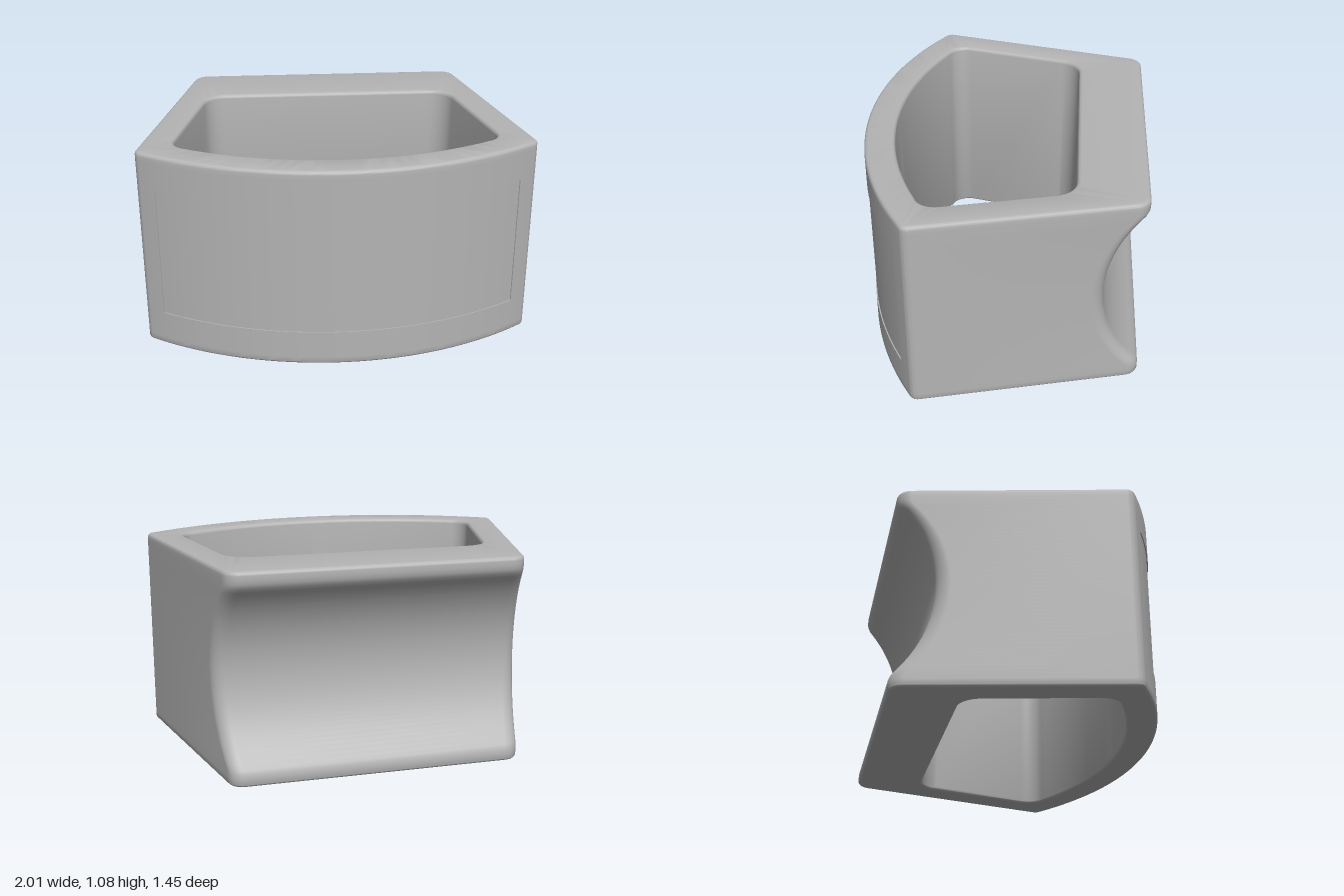
import * as THREE from 'three';
import { toCreasedNormals } from 'three/addons/utils/BufferGeometryUtils.js';

const H = 1.075, SLOPE = 0.236, ROUND = 0.02;
const PANEL = { x: 0.915, y0: 0.19, y1: 0.89, depth: 0.006 };
const OUTER = { front: 0.727, R: 1.77, side: 0.915, rBack: 0.08, rFront: 0.045 };
const INNER = { front: 0.57, R: 1.6, side: 0.754, rBack: 0.13, rFront: 0.1 };

// Points of a circular fillet at corner p between unit directions u and v
function fillet(p, u, v, r, n = 8) {
  const turn = Math.acos(u.dot(v)), t = r * Math.tan(turn / 2);
  const start = p.clone().addScaledVector(u, -t);
  const side = new THREE.Vector2(-u.y, u.x);
  return Array.from({ length: n + 1 }, (_, i) => {
    const a = turn * i / n;
    return start.clone().addScaledVector(u, r * Math.sin(a)).addScaledVector(side, r * (1 - Math.cos(a)));
  });
}

// Horizontal outline (x, z): straight back, splayed sides, bowed front; inset by e
function outline(o, back, e, recess) {
  const R = o.R - e, zc = o.front - o.R;
  const sideX = z => o.side + SLOPE * z - e * Math.hypot(1, SLOPE);
  let zf = 0.4;
  for (let i = 0; i < 20; i++) zf = zc + Math.sqrt(R * R - sideX(zf) ** 2);
  const zb = back + e, xf = sideX(zf), a = Math.asin(xf / R);
  const along = new THREE.Vector2(SLOPE, 1).normalize();
  const half = [
    ...fillet(new THREE.Vector2(sideX(zb), zb), new THREE.Vector2(1, 0), along, o.rBack - e),
    ...fillet(new THREE.Vector2(xf, zf), along, new THREE.Vector2(-Math.cos(a), Math.sin(a)), o.rFront - e),
  ];
  // front arc, stepping inwards over the panel
  const edge = Math.asin(Math.min(PANEL.x, half.at(-1).x - 0.02) / R);
  const at = (ang, r) => new THREE.Vector2(r * Math.sin(ang), zc + r * Math.cos(ang));
  half.push(at(edge, R));
  const mid = [];
  for (let i = 0; i <= 48; i++) mid.push(at(edge * (1 - i / 24), R - recess));
  const mirrored = half.map(p => new THREE.Vector2(-p.x, p.y)).reverse();
  return [...half, ...mid, ...mirrored];
}

// Back face position: flat lips blended into a cylindrical groove
function backZ(y) {
  const dy = y - H / 2, lip = -0.727;
  const groove = -1.155 + Math.sqrt(Math.max(0, 0.63 ** 2 - dy * dy));
  const d = groove - lip;
  return lip + (d + Math.sqrt(d * d + 0.0002)) / 2;
}

function bodyGeometry() {
  const rows = [];
  const add = (o, y, back, e, recess = 0) =>
    rows.push(outline(o, back, e, recess).map(p => new THREE.Vector3(p.x, y, p.y)));
  const round = i => {
    const a = i / 5 * Math.PI / 2;
    return [ROUND * (1 - Math.cos(a)), ROUND * (1 - Math.sin(a))]; // height, inset
  };

  // outer wall, bottom to top
  for (let i = 0; i <= 5; i++) { const [h, e] = round(i); add(OUTER, h, backZ(h), e); }
  const ys = [];
  for (let i = 1; i < 48; i++) ys.push(ROUND + (H - 2 * ROUND) * i / 48);
  const levels = [...ys.filter(y => Math.abs(y - PANEL.y0) > 0.005 && Math.abs(y - PANEL.y1) > 0.005),
    PANEL.y0, PANEL.y1].sort((a, b) => a - b);
  for (const y of levels) {
    const inside = y > PANEL.y0 && y < PANEL.y1;
    if (y === PANEL.y0) add(OUTER, y, backZ(y), 0);
    add(OUTER, y, backZ(y), 0, inside || y === PANEL.y0 || y === PANEL.y1 ? PANEL.depth : 0);
    if (y === PANEL.y1) add(OUTER, y, backZ(y), 0);
  }
  for (let i = 5; i >= 0; i--) { const [h, e] = round(i); add(OUTER, H - h, backZ(H - h), e); }

  // through opening, top to bottom
  for (let i = 0; i <= 5; i++) { const [h, e] = round(i); add(INNER, H - h, -0.375, -e); }
  for (let i = 5; i >= 0; i--) { const [h, e] = round(i); add(INNER, h, -0.375, -e); }

  // skin the closed ring of rows
  const pos = [], tri = new THREE.Triangle();
  const face = (a, b, c) => {
    if (tri.set(a, b, c).getArea() > 1e-9) for (const p of [a, b, c]) pos.push(p.x, p.y, p.z);
  };
  rows.forEach((row, i) => {
    const next = rows[(i + 1) % rows.length];
    row.forEach((a, j) => {
      const k = (j + 1) % row.length;
      face(a, next[j], row[k]);
      face(row[k], next[j], next[k]);
    });
  });
  const g = new THREE.BufferGeometry();
  g.setAttribute('position', new THREE.Float32BufferAttribute(pos, 3));
  return toCreasedNormals(g, 0.6);
}

export function createModel() {
  const grey = new THREE.MeshStandardMaterial({ color: 0xb4b4b4 });
  grey.name = 'light grey';
  const body = new THREE.Mesh(bodyGeometry(), grey);
  body.name = 'hollowBody';
  const model = new THREE.Group();
  model.name = 'groovedSleeve';
  model.add(body);
  return model;
}
